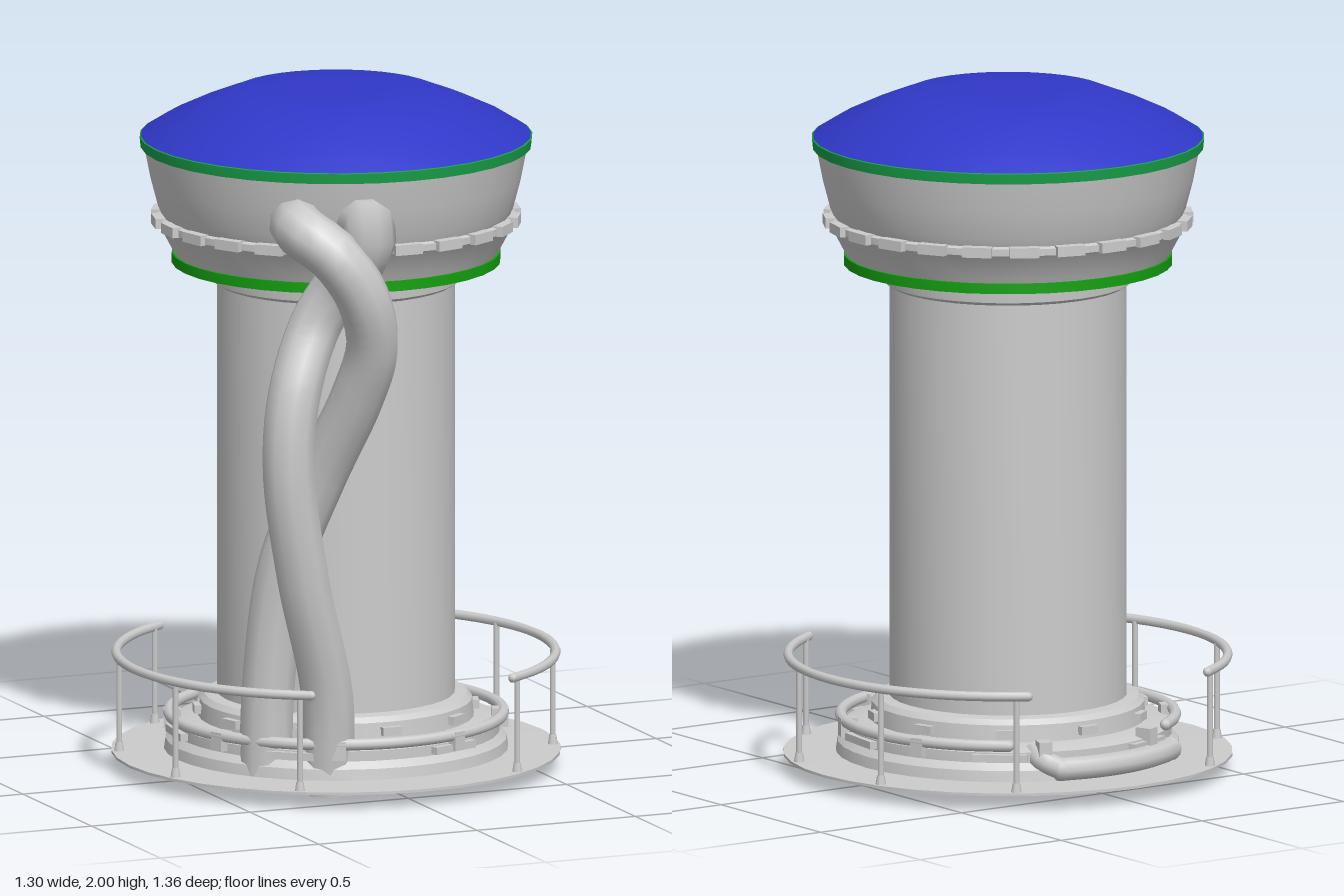
import * as THREE from 'three';
import { toCreasedNormals } from 'three/addons/utils/BufferGeometryUtils.js';

const grey = new THREE.MeshStandardMaterial({ color: 0xcccccc });
const greyThin = new THREE.MeshStandardMaterial({ color: 0xcccccc, side: THREE.DoubleSide });
const blue = new THREE.MeshStandardMaterial({ color: 0x3038c8 });
const green = new THREE.MeshStandardMaterial({ color: 0x18a048 });
const brightGreen = new THREE.MeshStandardMaterial({ color: 0x14a010 });

const AXIS_Z = -0.025; // the tower axis sits slightly behind the origin

export function createModel() {
  const model = new THREE.Group();
  model.name = 'tower';
  const tower = new THREE.Group();
  tower.name = 'towerBody';
  tower.position.z = AXIS_Z;
  model.add(tower);

  function add(parent, name, geometry, material = grey) {
    const mesh = new THREE.Mesh(geometry, material);
    mesh.name = name;
    parent.add(mesh);
    return mesh;
  }
  // Surface of revolution from [radius, height] pairs, listed bottom to top
  function lathe(name, points, material, crease = 0.45) {
    const g = new THREE.LatheGeometry(points.map(([r, y]) => new THREE.Vector2(r, y)), 36);
    return add(tower, name, toCreasedNormals(g, crease), material);
  }
  // Point on a circle about the axis; angle 0 is the front, 90 is +x
  function polar(deg, r, y) {
    const a = THREE.MathUtils.degToRad(deg);
    return new THREE.Vector3(Math.sin(a) * r, y, Math.cos(a) * r);
  }
  // Closed tube following an arc about the axis
  function arcTube(name, from, to, r, y, radius) {
    const n = Math.ceil((to - from) / 10);
    const pts = [];
    for (let i = 0; i <= n; i++) pts.push(polar(from + (to - from) * i / n, r, y));
    add(tower, name, new THREE.TubeGeometry(new THREE.CatmullRomCurve3(pts), n * 2, radius, 8), greyThin);
    for (const p of [pts[0], pts[n]]) {
      add(tower, name + 'End', new THREE.SphereGeometry(radius, 8, 6)).position.copy(p);
    }
  }
  // Ring of boxes facing outward
  function boxRing(name, count, r, y, size, offset = 0) {
    for (let i = 0; i < count; i++) {
      const deg = offset + i * 360 / count;
      const box = add(tower, name, new THREE.BoxGeometry(...size));
      box.position.copy(polar(deg, r, y));
      box.rotation.y = THREE.MathUtils.degToRad(deg);
    }
  }

  // Base plate, footing and the recess beneath it
  lathe('basePlate', [[0.42, 0.045], [0.652, 0.042], [0.652, 0.05], [0.42, 0.055]], greyThin);
  lathe('footing', [[0.5, 0.05], [0.495, 0.085], [0.475, 0.105], [0.475, 0.135], [0.44, 0.145], [0.4, 0.15],
    [0.395, 0.2], [0.38, 0.215], [0.34, 0.22]], grey);
  lathe('undersideRecess', [[0, 0.15], [0.167, 0.15], [0.17, 0.12], [0.27, 0.1], [0.33, 0.115], [0.36, 0.1],
    [0.42, 0.045]], greyThin);
  boxRing('collarBlock', 10, 0.4, 0.175, [0.06, 0.025, 0.03]);
  boxRing('ringBracket', 8, 0.475, 0.14, [0.04, 0.055, 0.05], 22.5);
  boxRing('footingPanel', 6, 0.47, 0.12, [0.16, 0.022, 0.04], 22);

  // Guard ring, open at the back, and the pipe lying in its gap
  arcTube('guardRing', -145, 145, 0.485, 0.157, 0.017);
  arcTube('backPipe', 163, 216, 0.495, 0.085, 0.035);
  const elbow = new THREE.CatmullRomCurve3([polar(163, 0.495, 0.085), polar(157, 0.48, 0.11), polar(155, 0.42, 0.13)]);
  add(tower, 'pipeElbow', new THREE.TubeGeometry(elbow, 8, 0.033, 8), greyThin);

  // Two railings with posts, open at the front and the back
  for (const side of [-1, 1]) {
    const mid = side * 90;
    arcTube('handrail', mid - 60, mid + 60, 0.637, 0.333, 0.014);
    for (const d of [-57, -19, 19, 57]) {
      const p = polar(mid + d, 0.63, 0.19);
      add(tower, 'railPost', new THREE.CylinderGeometry(0.009, 0.009, 0.28, 8)).position.copy(p);
      add(tower, 'postFoot', new THREE.CylinderGeometry(0.011, 0.016, 0.03, 8)).position.set(p.x, 0.062, p.z);
    }
  }

  // Column
  lathe('column', [[0.345, 0.2], [0.345, 1.45]], grey);
  lathe('columnCollar', [[0.345, 1.43], [0.36, 1.44], [0.363, 1.475], [0.35, 1.5], [0.35, 1.57]], grey);

  // Head
  lathe('headUnderside', [[0.34, 1.56], [0.4, 1.55], [0.41, 1.51], [0.445, 1.505], [0.45, 1.49], [0.475, 1.49]], greyThin);
  lathe('lowerBand', [[0.465, 1.49], [0.477, 1.49], [0.477, 1.52], [0.465, 1.52]], brightGreen);
  lathe('headLower', [[0.468, 1.515], [0.478, 1.535], [0.515, 1.605], [0.52, 1.61], [0.52, 1.63], [0.505, 1.635]], grey);
  lathe('headUpper', [[0.505, 1.632], [0.517, 1.66], [0.538, 1.74], [0.556, 1.832]], grey);
  lathe('upperBand', [[0.55, 1.83], [0.567, 1.832], [0.57, 1.862], [0.56, 1.867]], green);
  lathe('domeCap', [[0.566, 1.864], [0.5, 1.905], [0.4, 1.952], [0.29, 1.995], [0.15, 2.0], [0, 2.0]], blue, 1);
  boxRing('headStud', 24, 0.518, 1.622, [0.085, 0.03, 0.034]);

  // Two entwined hoses, from under the plate up to the head
  const hoses = {
    frontHose: [[-0.185, 0.01, 0.34], [-0.205, 0.3, 0.38], [-0.3, 0.65, 0.43], [-0.355, 0.98, 0.45], [-0.335, 1.2, 0.44],
      [-0.25, 1.4, 0.4], [-0.19, 1.52, 0.44], [-0.155, 1.63, 0.54], [-0.145, 1.7, 0.56], [-0.13, 1.7, 0.42]],
    sideHose: [[-0.335, 0.02, 0.23], [-0.33, 0.35, 0.25], [-0.3, 0.67, 0.29], [-0.22, 0.95, 0.37], [-0.155, 1.2, 0.49],
      [-0.14, 1.36, 0.56], [-0.19, 1.52, 0.6], [-0.27, 1.64, 0.58], [-0.335, 1.7, 0.5], [-0.3, 1.7, 0.37]],
  };
  for (const [name, pts] of Object.entries(hoses)) {
    const curve = new THREE.CatmullRomCurve3(pts.map(p => new THREE.Vector3(...p)));
    add(model, name, new THREE.TubeGeometry(curve, 48, 0.078, 10));
    const cap = add(model, name + 'End', new THREE.CircleGeometry(0.078, 10), greyThin);
    cap.position.set(...pts[0]);
    cap.lookAt(cap.position.clone().sub(curve.getTangent(0)));
  }
  return model;
}
